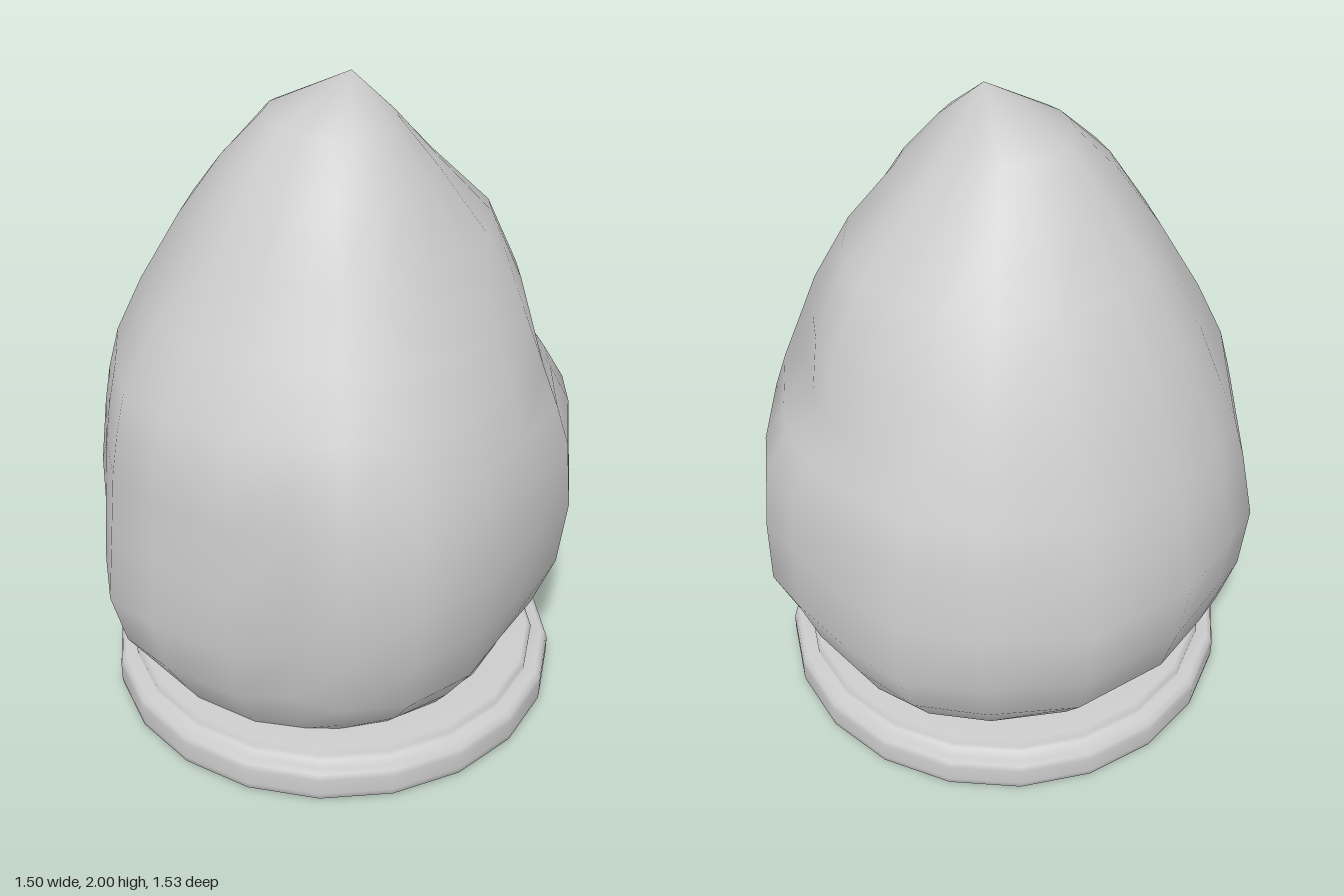
import * as THREE from 'three';

const material = new THREE.MeshStandardMaterial({ color: 0xcccccc });

// Plan outline of the stone as [x, z], counter-clockwise from the front
const OUTLINE = [
  [0.06, 0.74], [0.28, 0.65], [0.49, 0.56], [0.66, 0.36], [0.745, 0.23], [0.75, 0.08], [0.74, -0.13],
  [0.70, -0.36], [0.55, -0.55], [0.31, -0.735], [-0.03, -0.77], [-0.27, -0.70], [-0.40, -0.66],
  [-0.58, -0.43], [-0.68, -0.21], [-0.755, -0.02], [-0.71, 0.16], [-0.61, 0.41], [-0.46, 0.53],
  [-0.38, 0.67], [-0.19, 0.765],
];

// Rows of the stone: [y, reach to -x, reach to +x, reach to +z, reach to -z, lumpiness]
const ROWS = [
  [0.14, 0.57, 0.57, 0.53, 0.51, 0.1],
  [0.20, 0.615, 0.62, 0.585, 0.58, 0.3],
  [0.34, 0.71, 0.69, 0.69, 0.68, 0.7],
  [0.51, 0.755, 0.75, 0.725, 0.73, 1],
  [0.72, 0.735, 0.745, 0.765, 0.765, 1],
  [0.93, 0.715, 0.735, 0.735, 0.72, 0.9],
  [1.05, 0.695, 0.69, 0.70, 0.69, 0.8],
  [1.18, 0.665, 0.64, 0.65, 0.64, 0.7],
  [1.35, 0.57, 0.59, 0.565, 0.57, 0.6],
  [1.56, 0.44, 0.47, 0.45, 0.445, 0.5],
  [1.74, 0.32, 0.285, 0.34, 0.295, 0.4],
  [1.87, 0.185, 0.17, 0.225, 0.19, 0.3],
];
const WIDEST = [1, 2, 3, 4].map((k) => Math.max(...ROWS.map((row) => row[k])));

// Chipped hollows, or bulges where negative: [angle from the front in degrees, y, depth]
const DENTS = [
  [28, 0.26, 0.04], [55, 0.30, 0.03], [68, 1.20, 0.07], [118, 1.40, 0.03], [318, 0.48, 0.03],
  [332, 1.42, 0.025], [302, 1.05, -0.02], [122, 0.45, -0.015], [210, 1.20, 0.015],
];

function reach([left, right, front, back], a) {
  const s = Math.sin(a), c = Math.cos(a);
  return s * s * (s > 0 ? right : left) + c * c * (c > 0 ? front : back);
}

function dent(a, y) {
  return DENTS.reduce((sum, [deg, dy, depth]) => {
    const d = a - THREE.MathUtils.degToRad(deg);
    const turn = Math.atan2(Math.sin(d), Math.cos(d));
    return sum + depth * Math.exp(-((turn / 0.28) ** 2) - ((y - dy) / 0.16) ** 2);
  }, 0);
}

function stoneGeometry() {
  const n = OUTLINE.length, positions = [], index = [];
  for (const [y, ...rest] of ROWS) {
    const lump = rest.pop();
    for (const [x, z] of OUTLINE) {
      const a = Math.atan2(x, z), r = reach(rest, a);
      const lumpy = Math.hypot(x, z) * r / reach(WIDEST, a);
      const radius = THREE.MathUtils.lerp(r, lumpy, lump) - (y > 0.15 ? dent(a, y) : 0);
      positions.push(radius * Math.sin(a), y, radius * Math.cos(a));
    }
  }
  for (let j = 0; j < ROWS.length - 1; j++) {
    for (let i = 0; i < n; i++) {
      const a = j * n + i, b = j * n + (i + 1) % n;
      index.push(a, b, b + n, a, b + n, a + n);
    }
  }
  // Pointed tip
  const tip = positions.length / 3, top = (ROWS.length - 1) * n;
  positions.push(0.03, 2, 0.06);
  for (let i = 0; i < n; i++) index.push(top + i, top + (i + 1) % n, tip);

  const geometry = new THREE.BufferGeometry();
  geometry.setAttribute('position', new THREE.Float32BufferAttribute(positions, 3));
  geometry.setIndex(index);
  geometry.computeVertexNormals();
  return geometry;
}

function addPart(group, name, geometry) {
  const mesh = new THREE.Mesh(geometry, material);
  mesh.name = name;
  group.add(mesh);
  return mesh;
}

export function createModel() {
  const group = new THREE.Group();
  group.name = 'stoneOnRing';

  addPart(group, 'stone', stoneGeometry());

  // Stepped collar with rounded edges, open underneath
  const profile = [
    [0.64, 0.12], [0.645, 0.09], [0.66, 0.08], [0.66, 0.02], [0.67, 0], [0.685, 0], [0.697, 0.01],
    [0.70, 0.03], [0.70, 0.08], [0.695, 0.10], [0.68, 0.11], [0.645, 0.11], [0.645, 0.13],
    [0.63, 0.145], [0.50, 0.145],
  ].map(([x, y]) => new THREE.Vector2(x, y));
  const collar = addPart(group, 'baseRing', new THREE.LatheGeometry(profile, 20));
  collar.position.set(0.01, 0, 0.005);

  // Flat underside set up inside the collar
  const underside = addPart(group, 'underside', new THREE.CircleGeometry(0.64, 20));
  underside.rotation.x = Math.PI / 2;
  underside.position.set(0.01, 0.12, 0.005);

  return group;
}
